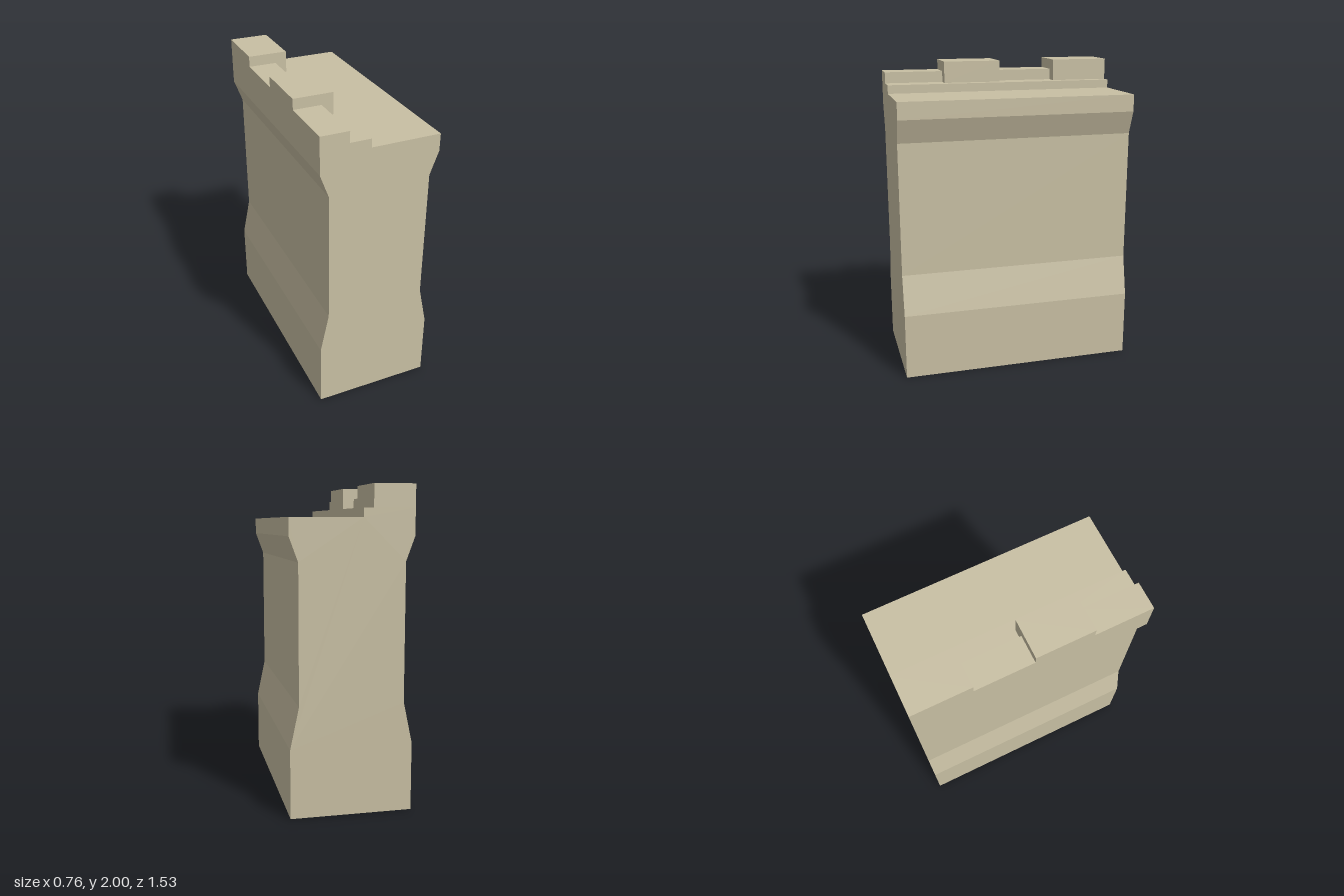
import * as THREE from 'three';

const HALF_X = 0.38, HALF_Z = 0.765, STEP_Y = 1.86;

export function createModel() {
  const group = new THREE.Group();
  group.name = 'castleWall';
  const stone = new THREE.MeshStandardMaterial({ color: 0xc8bfa3, flatShading: true });

  const add = (name, geometry) => {
    const mesh = new THREE.Mesh(geometry, stone);
    mesh.name = name;
    group.add(mesh);
    return mesh;
  };

  // Wall: flared foot, narrow waist, flared head, walkway and raised step
  const profile = [
    [-HALF_X, 0], [HALF_X, 0], [HALF_X, 0.43], [0.325, 0.69], [0.325, 1.545],
    [HALF_X, 1.695], [HALF_X, 1.805], [-0.065, 1.805], [-0.065, STEP_Y],
    [-HALF_X, STEP_Y], [-HALF_X, 1.695], [-0.325, 1.545], [-0.325, 0.69], [-HALF_X, 0.43],
  ].map(([x, y]) => new THREE.Vector2(x, y));
  const wall = new THREE.ExtrudeGeometry(new THREE.Shape(profile), {
    depth: HALF_Z * 2, bevelEnabled: false,
  });
  wall.translate(0, 0, -HALF_Z);
  add('wall', wall);

  // Battlements: tall, deep merlons alternating with low, thin parapets
  const edges = [-HALF_Z, -0.383, 0, 0.38, HALF_Z];
  for (let i = 0; i < 4; i++) {
    const tall = i % 2 === 0;
    const innerX = tall ? -0.125 : -0.2;
    const topY = tall ? 2 : 1.932;
    const block = new THREE.BoxGeometry(innerX + HALF_X, topY - STEP_Y, edges[i + 1] - edges[i]);
    add(tall ? 'merlon' : 'parapet', block).position.set(
      (innerX - HALF_X) / 2, (topY + STEP_Y) / 2, (edges[i] + edges[i + 1]) / 2);
  }
  return group;
}
